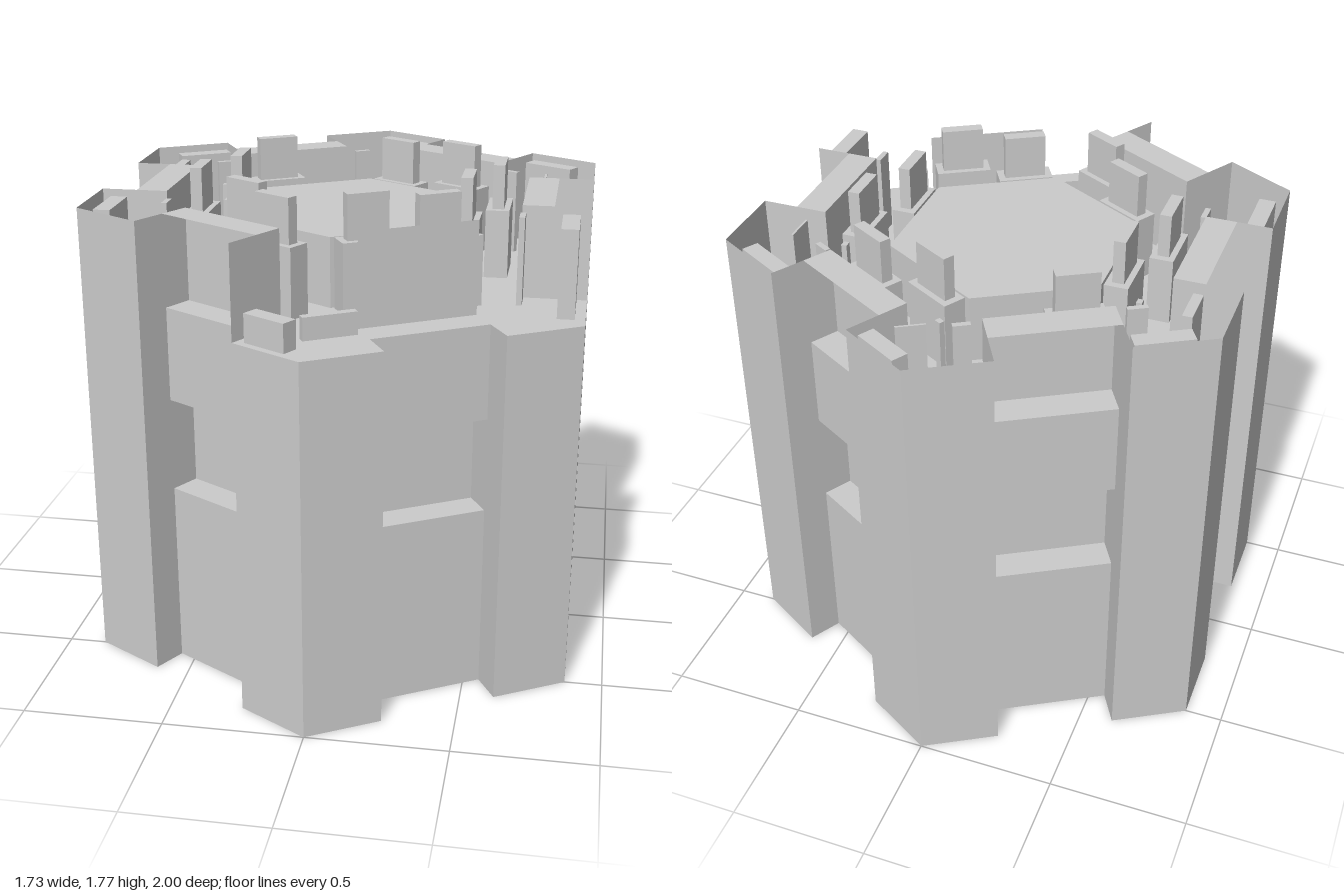
import * as THREE from 'three';

const W = 0.215, OUT = 0.866, WALL = 0.63, BAND = 0.74;
const FLOOR = 1.36, RIM = 1.69;

// Point on side k: r outward from the centre, t along the side; returns [x, z]
function at(k, r, t) {
  const a = k * Math.PI / 3, c = Math.cos(a), s = Math.sin(a);
  return [r * c - t * s, r * s + t * c];
}

export function createModel() {
  const group = new THREE.Group();
  const solid = new THREE.MeshStandardMaterial({ color: 0xcccccc, flatShading: true });
  const thin = new THREE.MeshStandardMaterial({ color: 0xcccccc, flatShading: true, side: THREE.DoubleSide });

  const add = (name, geometry, material = solid) => {
    const mesh = new THREE.Mesh(geometry, material);
    mesh.name = name;
    group.add(mesh);
    return mesh;
  };

  // Plan polygon extruded between two heights
  const prism = (name, points, y0, y1) => {
    const shape = new THREE.Shape(points.map(p => new THREE.Vector2(p[0], p[1])));
    const g = new THREE.ExtrudeGeometry(shape, { depth: y1 - y0, bevelEnabled: false });
    g.rotateX(Math.PI / 2).translate(0, y1, 0);
    add(name, g);
  };

  // Box standing on the floor, aligned to side k
  const block = (name, k, r, t, dr, dt, top) => {
    const h = top - FLOOR;
    const mesh = add(name, new THREE.BoxGeometry(dr, h, dt));
    const [x, z] = at(k, r, t);
    mesh.position.set(x, FLOOR + h / 2, z);
    mesh.rotation.y = -k * Math.PI / 3;
  };

  // Thin upright panel between two plan points
  const panel = (name, a, b) => {
    const dx = b[0] - a[0], dz = b[1] - a[1];
    const mesh = add(name, new THREE.PlaneGeometry(Math.hypot(dx, dz), RIM - FLOOR), thin);
    mesh.position.set((a[0] + b[0]) / 2, (RIM + FLOOR) / 2, (a[1] + b[1]) / 2);
    mesh.rotation.y = -Math.atan2(dz, dx);
  };

  const sides = [0, 1, 2, 3, 4, 5];

  // Hexagonal body: six corner bastions with walls stepping in and out
  const plan = wall => sides.flatMap(k => [
    at(k, OUT, -0.5), at(k, OUT, -W), at(k, wall, -W), at(k, wall, W), at(k, OUT, W)
  ]);
  prism('lowerBody', plan(BAND), 0, 0.68);
  prism('recessedBody', plan(WALL), 0.68, 1.02);
  prism('upperBody', plan(BAND), 1.02, FLOOR);

  // Raised central platform
  prism('centralPlatform', sides.map(k => at(k, 0.385, 0.222)), FLOOR, 1.61);

  for (const k of sides) {
    // Upper wall, with an overhanging ledge except on the broken side
    panel('upperWall', at(k, WALL, -W), at(k, WALL, W));
    if (k !== 1) {
      const ledge = add('wallLedge', new THREE.PlaneGeometry(BAND - WALL, 2 * W).rotateX(-Math.PI / 2), thin);
      const [x, z] = at(k, (BAND + WALL) / 2, 0);
      ledge.position.set(x, RIM, z);
      ledge.rotation.y = -k * Math.PI / 3;
    }

    // Bastion parapets; the two broken bastions keep a single panel
    const path = [at(k, WALL, W), at(k, OUT, W), at(k, OUT, 0.5),
      at(k + 1, OUT, -W), at(k + 1, WALL, -W)];
    for (let i = 0; i < 4; i++) {
      if ((k === 0 && i !== 0) || (k === 1 && i !== 3)) continue;
      panel('bastionParapet', path[i], path[i + 1]);
    }

    // Staggered merlons on low plinths around the platform
    const radii = k === 5 ? [0.435, 0.53] : [0.53, 0.435];
    radii.forEach((r, i) => {
      if (k === 4 && i === 1) return;
      const t = i ? 0.11 : -0.11;
      block('merlonPlinth', k, r, t, 0.085, 0.2, 1.61);
      block('merlon', k, r, t, 0.042, 0.15, 1.77);
    });
  }

  // Slabs inside the bastions: side, r, t, depth, width, top
  [
    [0, 0.8, 0.34, 0.06, 0.2, 1.67], [3, 0.8, -0.34, 0.06, 0.2, 1.67],
    [4, 0.8, -0.33, 0.06, 0.2, 1.67], [5, 0.81, 0.34, 0.06, 0.2, 1.67],
    [5, 0.81, -0.33, 0.06, 0.18, 1.67], [2, 0.81, -0.33, 0.06, 0.17, 1.46],
    [1, 0.67, 0.33, 0.03, 0.19, 1.44]
  ].forEach(s => block('bastionSlab', ...s));

  // Small posts at the throats of the bastions
  [
    [3, 0.725, 0.32, 0.035, 0.14, 1.67], [4, 0.62, -0.29, 0.02, 0.07, 1.67],
    [3, 0.535, 0.265, 0.02, 0.025, 1.61], [4, 0.62, 0.28, 0.02, 0.06, 1.67],
    [5, 0.54, -0.265, 0.02, 0.025, 1.61], [5, 0.62, 0.28, 0.02, 0.06, 1.67],
    [0, 0.535, -0.265, 0.02, 0.025, 1.61], [0, 0.685, -0.31, 0.008, 0.11, 1.67],
    [0, 0.635, 0.275, 0.02, 0.07, 1.67], [1, 0.53, -0.26, 0.02, 0.03, 1.61],
    [3, 0.615, -0.275, 0.02, 0.07, 1.67], [4, 0.6, 0.44, 0.008, 0.1, 1.67]
  ].forEach(s => block('throatPost', ...s));

  return group;
}
